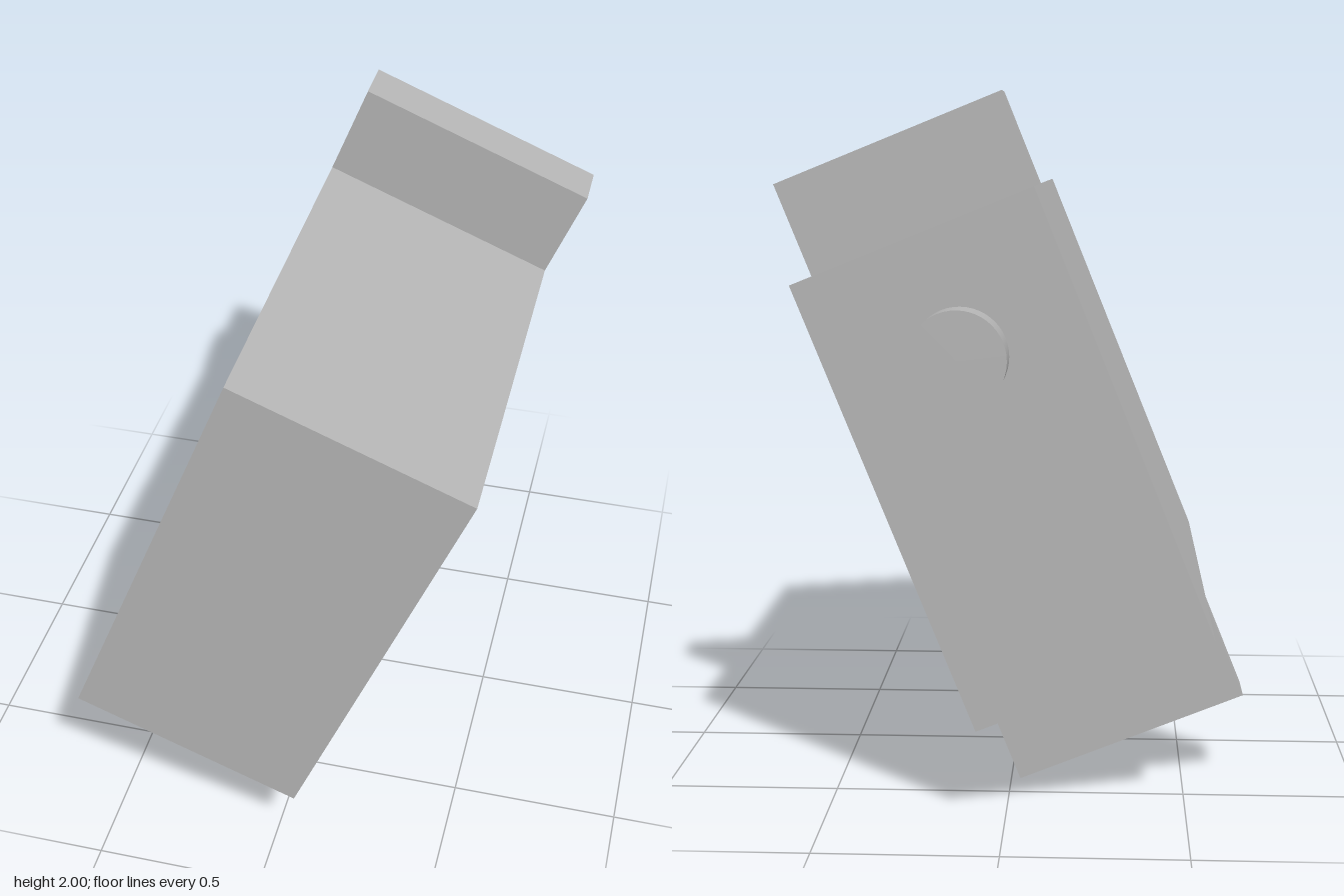
import * as THREE from 'three';

export function createModel() {
  const grey = new THREE.MeshStandardMaterial({ color: 0xb4b4b4 });
  grey.name = 'plain grey';

  const model = new THREE.Group();
  model.name = 'servoMotor';

  // The whole motor leans 22 degrees about the depth axis
  const motor = new THREE.Group();
  motor.name = 'tiltedMotor';
  motor.position.y = 1;
  motor.rotation.z = THREE.MathUtils.degToRad(-22);
  model.add(motor);

  function add(name, geometry, x, y, z) {
    const mesh = new THREE.Mesh(geometry, grey);
    mesh.name = name;
    mesh.position.set(x, y, z);
    motor.add(mesh);
    return mesh;
  }

  const width = 0.7, bodyHeight = 1.312, flangeHeight = 1.874;

  // Main case
  add('body', new THREE.BoxGeometry(width, bodyHeight, 1.64), 0, 0, 0.06);

  // Mounting ears at both ends of the case
  const earHeight = (flangeHeight - bodyHeight) / 2;
  for (const [name, side] of [['upperMountingEar', 1], ['lowerMountingEar', -1]]) {
    add(name, new THREE.BoxGeometry(width, earHeight, 0.14),
      0, side * (bodyHeight + earHeight) / 2, -0.315);
  }

  // Output shaft on the back
  const shaft = new THREE.CylinderGeometry(0.132, 0.132, 0.12, 48);
  shaft.rotateX(Math.PI / 2);
  add('outputShaft', shaft, 0, 0.314, -0.82);

  return model;
}
